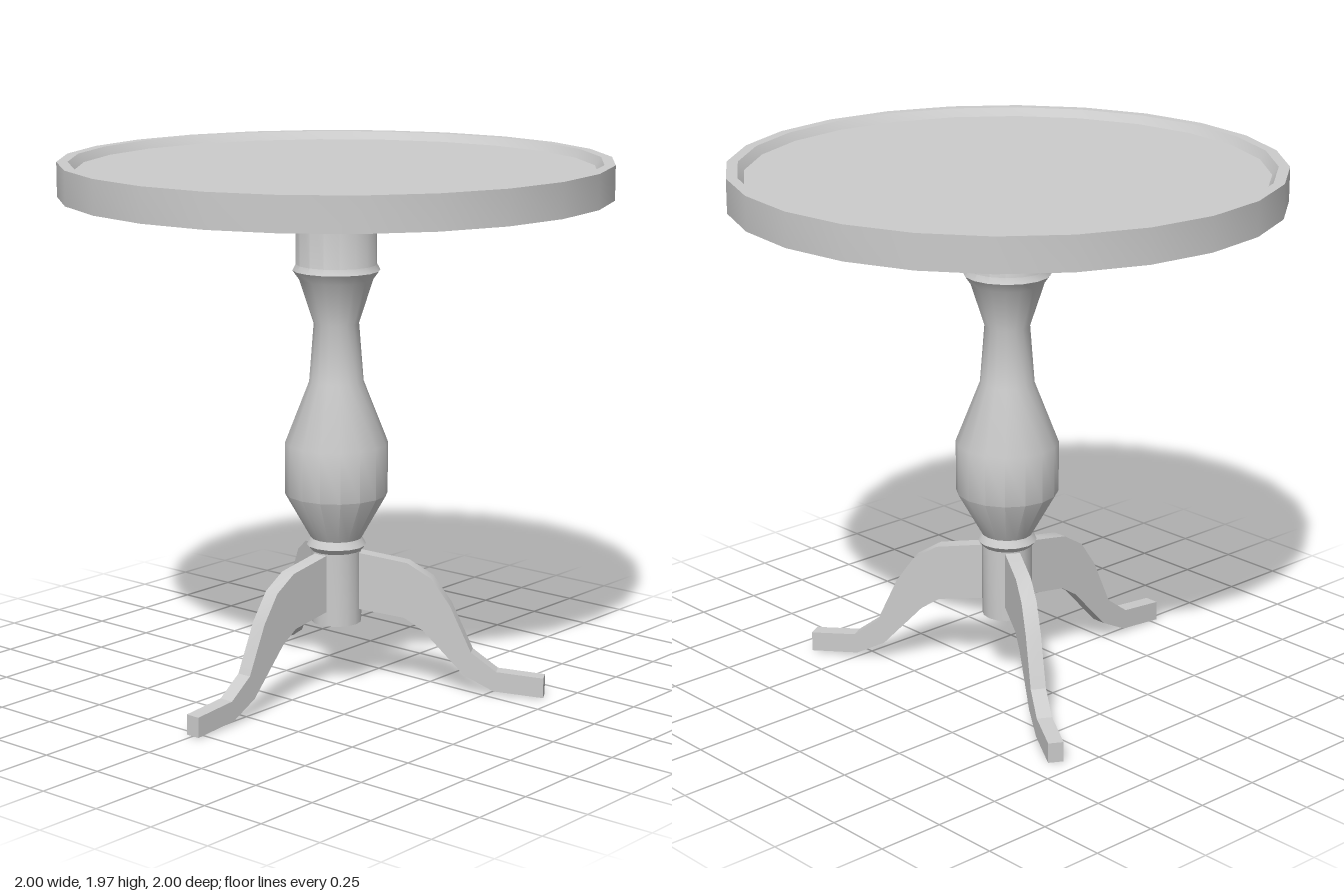
import * as THREE from 'three';
import { toCreasedNormals } from 'three/addons/utils/BufferGeometryUtils.js';

const material = new THREE.MeshStandardMaterial({ color: 0xcccccc });

function makeMesh(name, geometry, creaseAngle) {
  const mesh = new THREE.Mesh(toCreasedNormals(geometry, creaseAngle), material);
  mesh.name = name;
  return mesh;
}

// Turned part from [radius, height] pairs, bottom to top
function turned(name, profile, sides) {
  const points = profile.map(([r, y]) => new THREE.Vector2(r, y));
  return makeMesh(name, new THREE.LatheGeometry(points, sides), 0.6);
}

// Curved leg: side outline in (distance from axis, height), extruded to its thickness
function makeLegGeometry() {
  const outline = [
    [0.09, 0.305], [0.26, 0.28], [0.33, 0.235], [0.485, 0.07], [0.595, 0.015], [0.78, 0],
    [0.78, 0.075], [0.605, 0.09], [0.51, 0.16], [0.43, 0.335], [0.36, 0.435], [0.27, 0.49], [0.09, 0.52],
  ];
  const shape = new THREE.Shape(outline.map(([x, y]) => new THREE.Vector2(x, y)));
  const thickness = 0.056;
  const geometry = new THREE.ExtrudeGeometry(shape, { depth: thickness, bevelEnabled: false });
  return geometry.translate(0, 0, -thickness / 2);
}

export function createModel() {
  const table = new THREE.Group();
  table.name = 'pedestalTable';

  // Round top with a raised rim around a shallow recess
  table.add(turned('tableTop', [
    [0, 1.845], [1, 1.845], [1, 1.97], [0.96, 1.97], [0.938, 1.94], [0, 1.94],
  ], 24));

  // Turned column
  table.add(turned('column', [
    [0, 0.25], [0.093, 0.25], [0.093, 0.525],
    [0.11, 0.545], [0.095, 0.572],
    [0.19, 0.74], [0.19, 0.93], [0.1, 1.16], [0.083, 1.375],
    [0.135, 1.535], [0.16, 1.57], [0.148, 1.592], [0.148, 1.85],
  ], 16));

  // Three legs, one pointing to -x
  const legGeometry = makeLegGeometry();
  for (let i = 0; i < 3; i++) {
    const leg = makeMesh('leg' + (i + 1), legGeometry, 0.5);
    leg.rotation.y = Math.PI + (i * 2 * Math.PI) / 3;
    table.add(leg);
  }
  return table;
}
